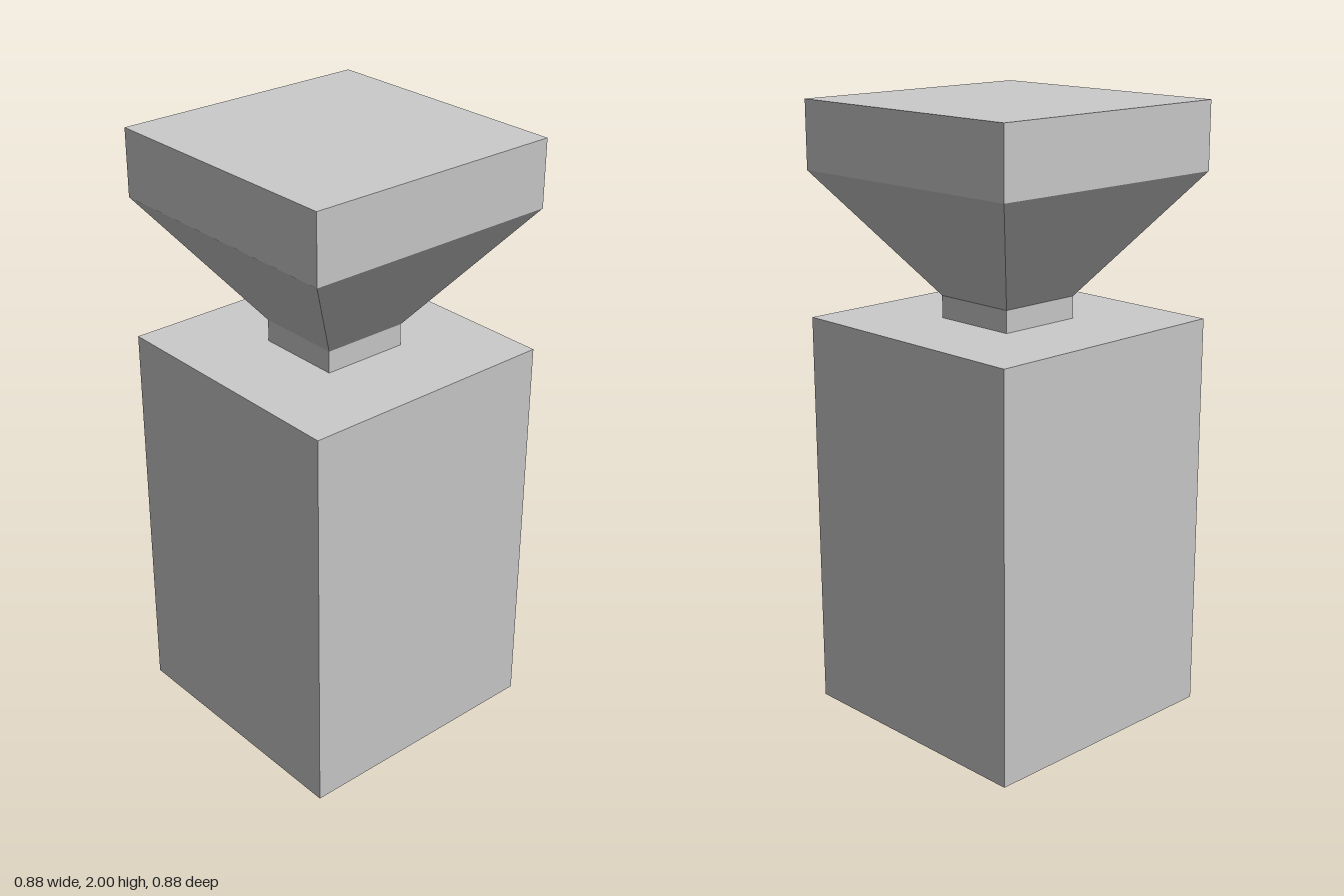
import * as THREE from 'three';

const WIDTH = 0.876;
const NECK = 0.292;

export function createModel() {
  const model = new THREE.Group();
  const material = new THREE.MeshStandardMaterial({ color: 0xcccccc, flatShading: true });

  function add(name, geometry, bottom, top) {
    const mesh = new THREE.Mesh(geometry, material);
    mesh.name = name;
    mesh.position.y = (bottom + top) / 2;
    model.add(mesh);
  }

  // Square block from one height to another
  function block(name, width, bottom, top) {
    add(name, new THREE.BoxGeometry(width, top - bottom, width), bottom, top);
  }

  // Square frustum: a four-sided cylinder turned so its faces meet the axes
  function frustum(name, lowWidth, highWidth, bottom, top) {
    const geometry = new THREE.CylinderGeometry(
      highWidth * Math.SQRT1_2, lowWidth * Math.SQRT1_2, top - bottom, 4, 1, true);
    geometry.rotateY(Math.PI / 4);
    add(name, geometry, bottom, top);
  }

  block('body', WIDTH, 0, 1.316);
  block('neck', NECK, 1.316, 1.388);
  frustum('flare', NECK, WIDTH, 1.388, 1.782);
  block('cap', WIDTH, 1.782, 2);

  return model;
}
